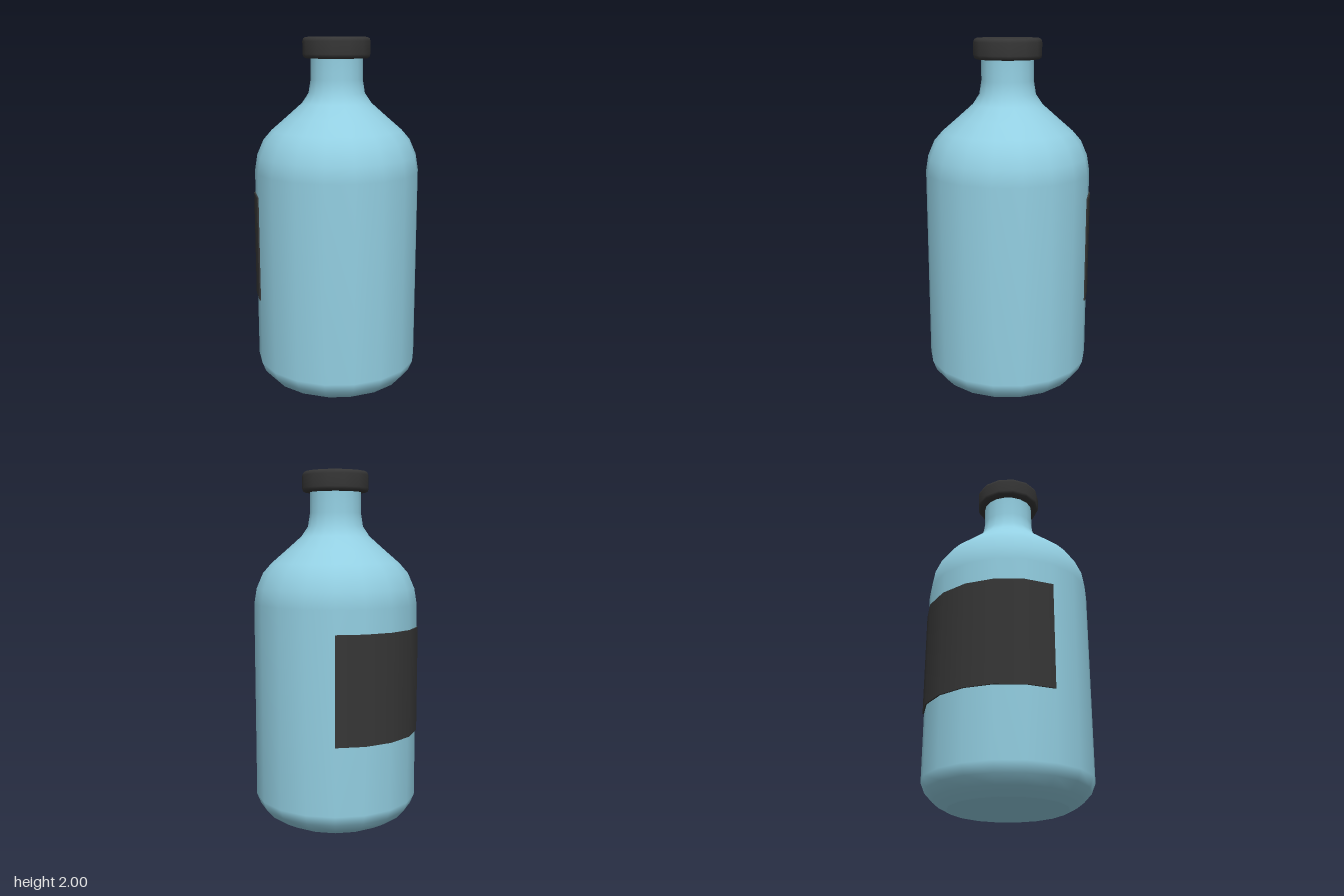
import * as THREE from 'three';

const glass = new THREE.MeshStandardMaterial({ color: 0x93cfe2 });
const dark = new THREE.MeshStandardMaterial({ color: 0x363636 });

// Lathe whose first vertex lies on +x; profile runs upwards as [radius, y]
function turn(name, profile, sides, material, start = Math.PI / 2, sweep = Math.PI * 2) {
  const points = profile.map(([r, y]) => new THREE.Vector2(r, y));
  const mesh = new THREE.Mesh(new THREE.LatheGeometry(points, sides, start, sweep), material);
  mesh.name = name;
  return mesh;
}

export function createModel() {
  const model = new THREE.Group();
  model.name = 'bottle';

  // Body: rounded foot, straight wall, sloping shoulder and neck
  const body = new THREE.Group();
  body.name = 'body';
  body.add(
    turn('bodyWall', [
      [0.325, 0], [0.4, 0.04], [0.444, 0.088], [0.467, 0.145],
      [0.467, 1.26], [0.452, 1.35], [0.415, 1.435], [0.367, 1.49],
      [0.28, 1.565], [0.195, 1.64], [0.158, 1.695], [0.146, 1.77], [0.146, 1.89],
    ], 18, glass),
    turn('base', [[0, 0], [0.325, 0]], 18, glass),
  );

  // Cap: bevelled rim with a flat top and underside
  const cap = new THREE.Group();
  cap.name = 'cap';
  cap.add(
    turn('capRim', [
      [0.172, 1.885], [0.185, 1.892], [0.19, 1.908],
      [0.19, 1.977], [0.185, 1.993], [0.172, 2],
    ], 13, dark),
    turn('capTop', [[0.172, 2], [0, 2]], 13, dark),
    turn('capUnderside', [[0, 1.885], [0.172, 1.885]], 13, dark),
  );

  // Label: thin raised band over six wall facets on the back
  const label = new THREE.Group();
  label.name = 'label';
  const inner = 0.467, outer = 0.475, low = 0.53, high = 1.13;
  const start = THREE.MathUtils.degToRad(130), sweep = THREE.MathUtils.degToRad(120);
  const band = (name, profile) => label.add(turn(name, profile, 6, dark, start, sweep));
  band('labelFace', [[outer, low], [outer, high]]);
  band('labelTopEdge', [[outer, high], [inner, high]]);
  band('labelBottomEdge', [[inner, low], [outer, low]]);
  const edgeMaterial = dark.clone();
  edgeMaterial.side = THREE.DoubleSide;
  for (const angle of [start, start + sweep]) {
    const edge = new THREE.Mesh(new THREE.PlaneGeometry(outer - inner, high - low), edgeMaterial);
    const r = (inner + outer) / 2;
    edge.position.set(r * Math.sin(angle), (low + high) / 2, r * Math.cos(angle));
    edge.rotation.y = angle - Math.PI / 2;
    edge.name = 'labelSideEdge';
    label.add(edge);
  }

  model.add(body, cap, label);
  for (const part of model.children) part.position.z = 0.005;
  return model;
}
